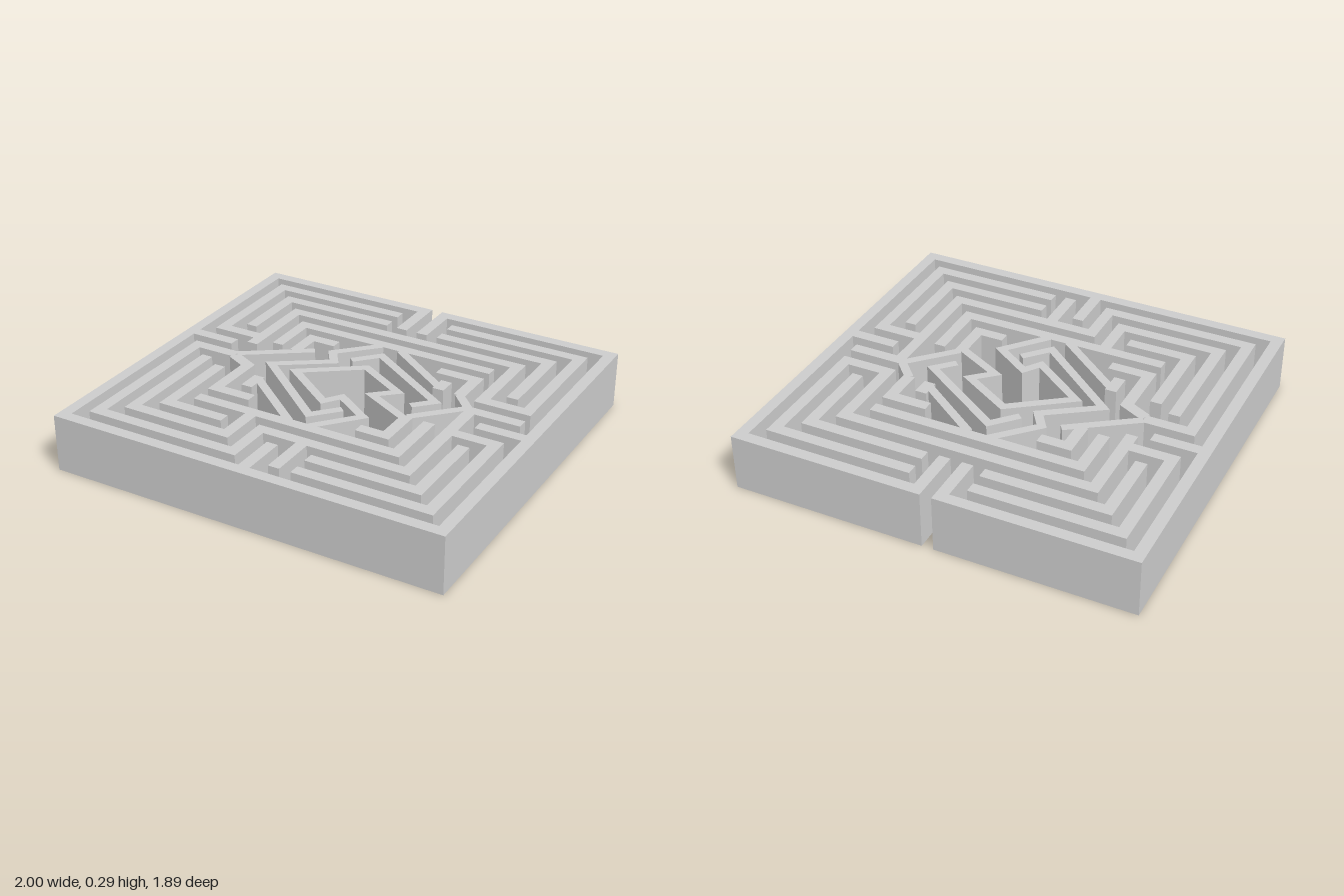
import * as THREE from 'three';

// Plan is drawn on a lattice: one unit = one corridor pitch
const PITCH = 2 / 17.5;
const HEIGHT = 2.5;
const STRAIGHT = 0.5;
const SLANTED = 0.37;

// Each wall is a centre line of [x, z] corners
const outerWalls = [
  [[-0.5, -5.75], [-0.5, -8], [-8.5, -8], [-8.5, 8], [8.5, 8], [8.5, -8], [0.5, -8], [0.5, -5.75]],
  [[-8.5, -1], [-6.25, -1]],
  [[0, 8], [0, 5.75]],
  [[8.5, 0.5], [6.25, 0.5]],
];

const ringWalls = [
  // second ring
  [[-1.25, -7], [-7.5, -7], [-7.5, -2], [-5.5, -2]],
  [[1.25, -7], [7.5, -7], [7.5, -1.5], [5.5, -1.5]],
  [[5.5, 1.5], [7.5, 1.5], [7.5, 7], [1.75, 7]],
  [[7.75, -0.5], [5.25, -0.5]],
  // third ring
  [[-1.25, -6], [-6.5, -6], [-6.5, -2.75]],
  [[1.25, -6], [6.5, -6], [6.5, -2.25]],
  [[6.5, 2.25], [6.5, 6], [1.75, 6]],
  [[-6.5, 0.75], [-6.5, 6], [-2, 6], [-2, 4]],
  // fourth ring
  [[-5.5, -1.25], [-5.5, -5], [5.5, -5], [5.5, -1.25]],
  [[5.5, -0.5], [5.5, 5], [-1, 5], [-1, 7], [-7.5, 7], [-7.5, 0], [-5.5, 0]],
  [[1, 5], [1, 7.25]],
  [[-5.5, 1.25], [-5.5, 5], [-2.75, 5]],
];

const innerWalls = [
  [[-4.5, -1.75], [-4.5, -4], [4.75, -4]],
  [[-4.75, 4], [4.5, 4], [4.5, 1.25]],
  [[-2.25, -3], [-3.5, -3], [-3.5, -1.6]],
  [[-5.5, 0.12], [-4.5, 0.62], [-4.5, 3], [-2.75, 3]],
  [[2.75, -3], [4.5, -3], [4.5, -1.4]],
  [[3.5, 1.25], [3.5, 3], [2.25, 3]],
  [[3.5, -2.25], [3.5, -1.45]],
  [[-3.5, 1.25], [-3.5, 2.25]],
];

const diamondWalls = [
  // links to the square rings
  [[-5.5, -0.1], [-2.75, -2]],
  [[4.5, -1.45], [5.3, -0.6]],
  [[5.3, -0.6], [3.5, 1.25]],
  [[0.5, -3.8], [3.55, -1.6]],
  [[-3.5, 1.4], [-0.45, 3.85]],
  // outer diamond
  [[-0.45, -3.85], [-2, -2.25], [-1.5, -1.5], [-3.7, 0], [0, 3.05], [0.95, 2]],
  [[-0.93, -2], [0, -3], [3.9, -0.41], [3.17, 0.34]],
  // inner diamond
  [[0.5, 3.85], [1.96, 2.14], [0.41, 1.09], [-0.08, 1.79], [-2.45, 0.06],
    [0, -1.7], [2.17, -0.41], [1.37, 0.32], [3.5, 1.45]],
];

// Thickens a centre line into a mitred outline and extrudes it upward
function wallGeometry(path, width) {
  const pts = path.map(([x, z]) => new THREE.Vector2(x, -z));
  const left = [], right = [];
  pts.forEach((p, i) => {
    const into = p.clone().sub(pts[i - 1] ?? p).normalize();
    const out = (pts[i + 1] ?? p).clone().sub(p).normalize();
    if (i === 0) into.copy(out);
    if (i === pts.length - 1) out.copy(into);
    const normalA = new THREE.Vector2(-into.y, into.x);
    const normalB = new THREE.Vector2(-out.y, out.x);
    const mitre = normalA.clone().add(normalB).normalize();
    mitre.multiplyScalar(width / 2 / mitre.dot(normalA));
    left.push(p.clone().add(mitre));
    right.unshift(p.clone().sub(mitre));
  });
  const shape = new THREE.Shape([...left, ...right]);
  const geometry = new THREE.ExtrudeGeometry(shape, { depth: HEIGHT, bevelEnabled: false });
  return geometry.rotateX(-Math.PI / 2).scale(PITCH, PITCH, PITCH);
}

export function createModel() {
  const model = new THREE.Group();
  model.name = 'maze';
  const material = new THREE.MeshStandardMaterial({ color: 0xcccccc, flatShading: true });

  const addWalls = (name, paths, width) => {
    const group = new THREE.Group();
    group.name = name;
    paths.forEach((path, i) => {
      const wall = new THREE.Mesh(wallGeometry(path, width), material);
      wall.name = `${name}${i + 1}`;
      group.add(wall);
    });
    model.add(group);
  };

  addWalls('outerWall', outerWalls, STRAIGHT);
  addWalls('ringWall', ringWalls, STRAIGHT);
  addWalls('innerWall', innerWalls, STRAIGHT);
  addWalls('diamondWall', diamondWalls, SLANTED);
  return model;
}
